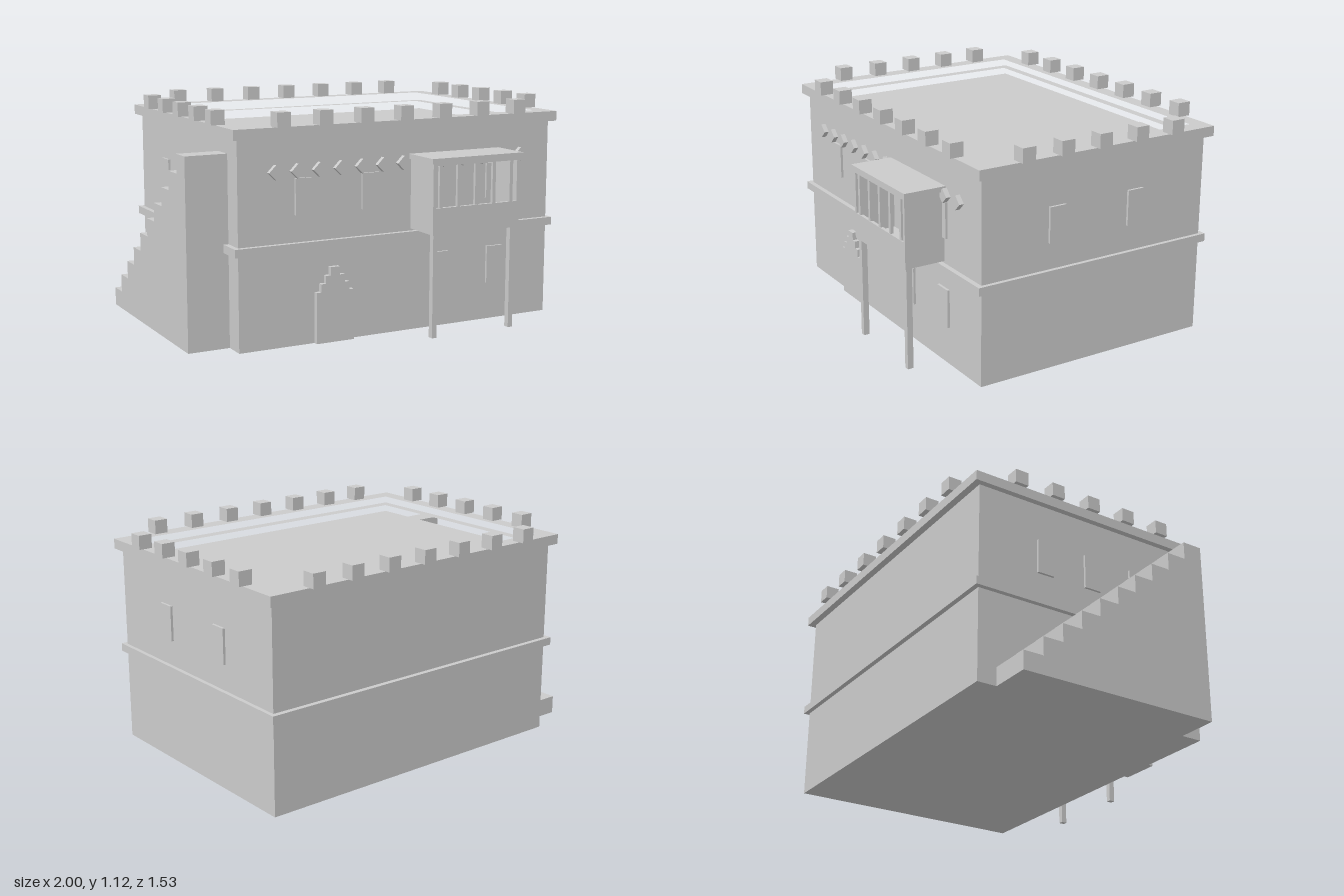
import * as THREE from 'three';

const material = new THREE.MeshStandardMaterial({ color: 0xcccccc, flatShading: true });

// Box given by its lower and upper limits on each axis
function box(parent, name, [x0, x1], [y0, y1], [z0, z1]) {
  const mesh = new THREE.Mesh(new THREE.BoxGeometry(x1 - x0, y1 - y0, z1 - z0), material);
  mesh.position.set((x0 + x1) / 2, (y0 + y1) / 2, (z0 + z1) / 2);
  mesh.name = name;
  parent.add(mesh);
  return mesh;
}

function group(parent, name) {
  const g = new THREE.Group();
  g.name = name;
  parent.add(g);
  return g;
}

// Rectangular frame lying flat, open in the middle
function ring(parent, name, [x0, x1], [z0, z1], inner, y, height) {
  const rect = (path, a, b, c, d) =>
    path.moveTo(a, -c).lineTo(b, -c).lineTo(b, -d).lineTo(a, -d).closePath();
  const shape = rect(new THREE.Shape(), x0, x1, z0, z1);
  shape.holes.push(rect(new THREE.Path(), ...inner));
  const geometry = new THREE.ExtrudeGeometry(shape, { depth: height, bevelEnabled: false });
  geometry.rotateX(-Math.PI / 2);
  const mesh = new THREE.Mesh(geometry, material);
  mesh.position.y = y;
  mesh.name = name;
  parent.add(mesh);
}

export function createModel() {
  const model = new THREE.Group();
  model.name = 'house';

  // Main block with sunken roof, parapet and belt course
  const wallX = [-0.79, 0.945], wallZ = [-0.71, 0.55];
  const recess = [-0.74, 0.89, -0.665, 0.495];
  box(model, 'walls', wallX, [0, 0.95], wallZ);
  ring(model, 'upperWalls', wallX, wallZ, recess, 0.95, 0.05);
  ring(model, 'parapet', [-0.82, 0.975], [-0.745, 0.58], recess, 1, 0.05);
  box(model, 'beltCourse', [-0.815, 0.965], [0.46, 0.5], [-0.735, 0.575]);

  // Merlons along the four sides
  const merlons = group(model, 'merlons');
  const merlon = (x, z) =>
    box(merlons, 'merlon', [x - 0.035, x + 0.035], [1.05, 1.12], [z - 0.035, z + 0.035]);
  for (let i = 0; i < 7; i++) for (const z of [0.565, -0.735]) merlon(-0.575 + i * 0.2175, z);
  for (let i = 0; i < 5; i++) for (const x of [-0.805, 0.96]) merlon(x, -0.505 + i * 0.21);

  // Window panels
  const windows = group(model, 'windows');
  const upper = [0.63, 0.805];
  for (const x of [-0.455, -0.1, 0.255, 0.61])
    box(windows, 'upperFrontWindow', [x - 0.045, x + 0.045], upper, [0.53, 0.562]);
  for (const x of [0.3, 0.623])
    box(windows, 'lowerFrontWindow', [x - 0.047, x + 0.047], [0.19, 0.38], [0.53, 0.562]);
  for (const z of [0.145, -0.3])
    box(windows, 'leftWindow', [0.92, 0.957], upper, [z - 0.045, z + 0.045]);
  for (const z of [-0.345, -0.075, 0.195])
    box(windows, 'rightWindow', [-0.802, -0.77], upper, [z - 0.045, z + 0.045]);

  // Door with a stepped top
  const shape = new THREE.Shape();
  const steps = [[0.1, 0.25], [0.075, 0.29], [0.05, 0.328], [0.025, 0.368]];
  shape.moveTo(-0.1, 0).lineTo(0.1, 0);
  steps.forEach(([w, y], i) => {
    shape.lineTo(w, y);
    if (i < 3) shape.lineTo(steps[i + 1][0], y);
  });
  [...steps].reverse().forEach(([w, y], i) => {
    shape.lineTo(-w, y);
    if (i < 3) shape.lineTo(-w, steps[2 - i][1]);
  });
  const door = new THREE.Mesh(
    new THREE.ExtrudeGeometry(shape, { depth: 0.045, bevelEnabled: false }), material);
  door.position.set(-0.298, 0, 0.53);
  door.name = 'door';
  model.add(door);

  // Row of diamond ornaments
  const diamonds = group(model, 'diamondFrieze');
  for (let i = 0; i < 13; i++) {
    const x = -0.605 + i * 0.114;
    box(diamonds, 'diamond', [x - 0.025, x + 0.025], [0.815, 0.865], [0.53, 0.574])
      .rotation.z = Math.PI / 4;
  }

  // Balcony on two posts
  const balcony = group(model, 'balcony');
  box(balcony, 'floor', [0.13, 0.625], [0.51, 0.53], [0.55, 0.757]);
  box(balcony, 'frontPanel', [0.13, 0.625], [0.53, 0.64], [0.74, 0.757]);
  box(balcony, 'lintel', [0.13, 0.625], [0.843, 0.855], [0.74, 0.757]);
  box(balcony, 'roof', [0.12, 0.64], [0.855, 0.88], [0.55, 0.765]);
  for (const x of [0.13, 0.61])
    box(balcony, 'sideWall', [x, x + 0.015], [0.53, 0.855], [0.55, 0.757]);
  for (let i = 0; i < 5; i++) {
    const x = 0.175 + i * 0.101;
    box(balcony, 'mullion', [x - 0.009, x + 0.009], [0.64, 0.843], [0.74, 0.755]);
  }
  for (const x of [0.14, 0.585])
    box(balcony, 'post', [x, x + 0.026], [0, 0.51], [0.715, 0.745]);

  // Outside stair rising from back to front
  const profile = new THREE.Shape().moveTo(-0.61, 0);
  const count = 10, run = 0.105, rise = 0.0925;
  for (let i = 0; i < count; i++) {
    profile.lineTo(-0.61 + i * run, (i + 1) * rise);
    profile.lineTo(-0.61 + (i + 1) * run, (i + 1) * rise);
  }
  profile.lineTo(0.44, 0);
  const stairGeometry = new THREE.ExtrudeGeometry(profile, { depth: 0.21, bevelEnabled: false });
  stairGeometry.rotateY(-Math.PI / 2);
  const stairs = new THREE.Mesh(stairGeometry, material);
  stairs.position.x = -0.79;
  stairs.name = 'stairs';
  model.add(stairs);

  return model;
}
